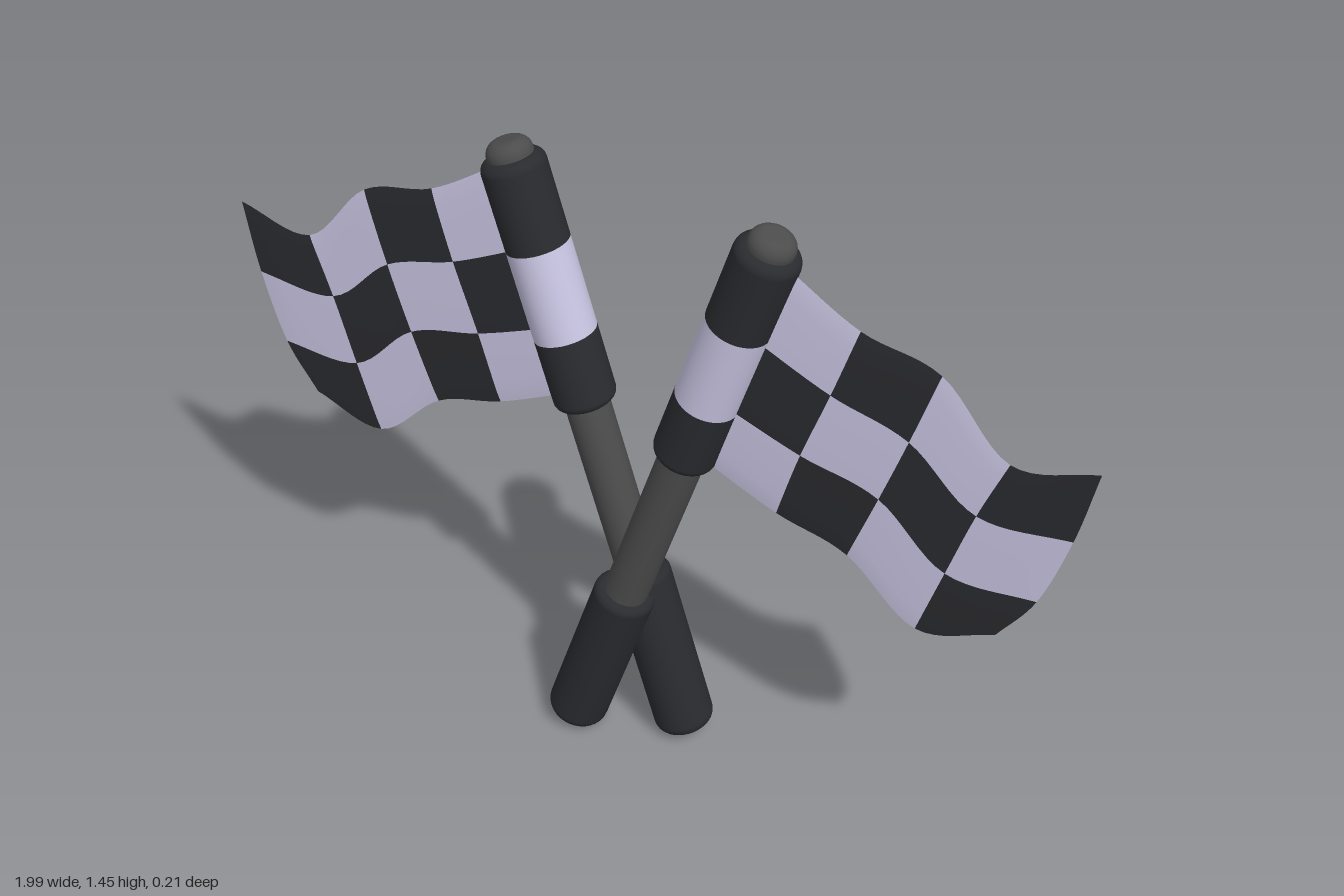
import * as THREE from 'three';
import { mergeGeometries } from 'three/addons/utils/BufferGeometryUtils.js';

const mat = (color) => new THREE.MeshStandardMaterial({ color });
const DARK = mat(0x2a2b2f), LIGHT = mat(0xcac6e4), POLE = mat(0x4c4c4c);

// Cloth control points as [x, y], four rows from top to bottom, tip to pole.
const PIVOT = [0.315, 1.45];
const ROWS = [
  [[1.0, 1.124], [0.825, 1.085], [0.67, 1.24], [0.5, 1.287], [0.335, 1.385]],
  [[0.97, 0.95], [0.775, 0.943], [0.622, 1.07], [0.453, 1.125], [0.28, 1.205]],
  [[0.92, 0.777], [0.728, 0.777], [0.573, 0.91], [0.4, 0.958], [0.235, 1.02]],
  [[0.848, 0.658], [0.68, 0.605], [0.517, 0.738], [0.355, 0.788], [0.18, 0.867]],
];
const COLS = 4, BANDS = 3;
const spline = (pts) => new THREE.CatmullRomCurve3(pts, false, 'catmullrom', 0.5);
const rowCurves = ROWS.map((row) => spline(
  row.map(([x, y]) => new THREE.Vector3(x - PIVOT[0], y - PIVOT[1], 0))));

// Point on the cloth: u from tip to pole, v from top to bottom.
const clothPoint = (u, v) => spline(rowCurves.map((c) => c.getPoint(u))).getPoint(v);

// One face of one check; the two faces meet at the cloth's free edges.
function checkFace(col, band, side, face) {
  const geo = new THREE.PlaneGeometry(1, 1, 8, 8);
  const pos = geo.attributes.position;
  for (let i = 0; i < pos.count; i++) {
    const u = (col + 0.5 + pos.getX(i)) / COLS;
    const v = (band + 0.5 - pos.getY(i)) / BANDS;
    const p = clothPoint(u, v);
    const swell = Math.max(0, Math.sin(Math.PI * v) * Math.sin(Math.PI * u / 2));
    pos.setXYZ(i, side * p.x, p.y, face * 0.008 * Math.sqrt(swell));
  }
  // u runs toward the pole, so the winding is reversed on the +x flag's front
  if (side * face > 0) {
    const idx = geo.index.array;
    for (let i = 0; i < idx.length; i += 3) [idx[i], idx[i + 1]] = [idx[i + 1], idx[i]];
  }
  geo.computeVertexNormals();
  return geo;
}

// Round bar between two heights, with optional rounded ends.
function bar(name, material, radius, y0, y1, bottomRound, topRound) {
  const pts = [];
  const corner = (y, r, dir) => {
    const arc = [];
    for (let i = 0; i <= 8; i++) {
      const a = (i / 8) * Math.PI / 2;
      arc.push(new THREE.Vector2(radius - r + r * Math.cos(a), y - dir * r + dir * r * Math.sin(a)));
    }
    arc.push(new THREE.Vector2(0, y));
    return arc;
  };
  if (bottomRound) pts.push(...corner(y0, bottomRound, -1).reverse());
  else pts.push(new THREE.Vector2(radius, y0));
  if (topRound) pts.push(...corner(y1, topRound, 1));
  else pts.push(new THREE.Vector2(radius, y1));
  const mesh = new THREE.Mesh(new THREE.LatheGeometry(pts, 32), material);
  mesh.name = name;
  return mesh;
}

// Complete flag, hung from the top of its pole; side is +1 for left (+x).
function createFlag(side) {
  const flag = new THREE.Group();
  flag.name = side > 0 ? 'leftFlag' : 'rightFlag';

  // Pole, grip and the striped sleeve share one tilted axis
  const staff = new THREE.Group();
  staff.name = 'staff';
  staff.rotation.z = -side * 0.29;
  staff.add(
    bar('pole', POLE, 0.05, -1.4, 0, 0, 0.03),
    bar('grip', DARK, 0.07, -1.495, -1.055, 0.032, 0.018),
    bar('sleeveTop', DARK, 0.07, -0.235, -0.035, 0, 0.025),
    bar('sleeveStripe', LIGHT, 0.07, -0.445, -0.235, 0, 0),
    bar('sleeveBottom', DARK, 0.07, -0.618, -0.445, 0.022, 0),
  );
  flag.add(staff);

  // Checked cloth
  const checks = [[], []];
  for (let c = 0; c < COLS; c++)
    for (let b = 0; b < BANDS; b++)
      for (const face of [1, -1]) checks[(c + b) % 2].push(checkFace(c, b, side, face));
  [['darkChecks', DARK], ['lightChecks', LIGHT]].forEach(([name, material], i) => {
    const mesh = new THREE.Mesh(mergeGeometries(checks[i]), material);
    mesh.name = name;
    flag.add(mesh);
  });
  return flag;
}

export function createModel() {
  const model = new THREE.Group();
  model.name = 'crossedFlags';

  const back = createFlag(-1);
  back.position.set(-PIVOT[0], PIVOT[1], -0.037);

  // The front flag leans out slightly more
  const front = createFlag(1);
  front.position.set(PIVOT[0], PIVOT[1] - 0.01, 0.037);
  front.rotation.z = -0.02;

  model.add(back, front);
  return model;
}
